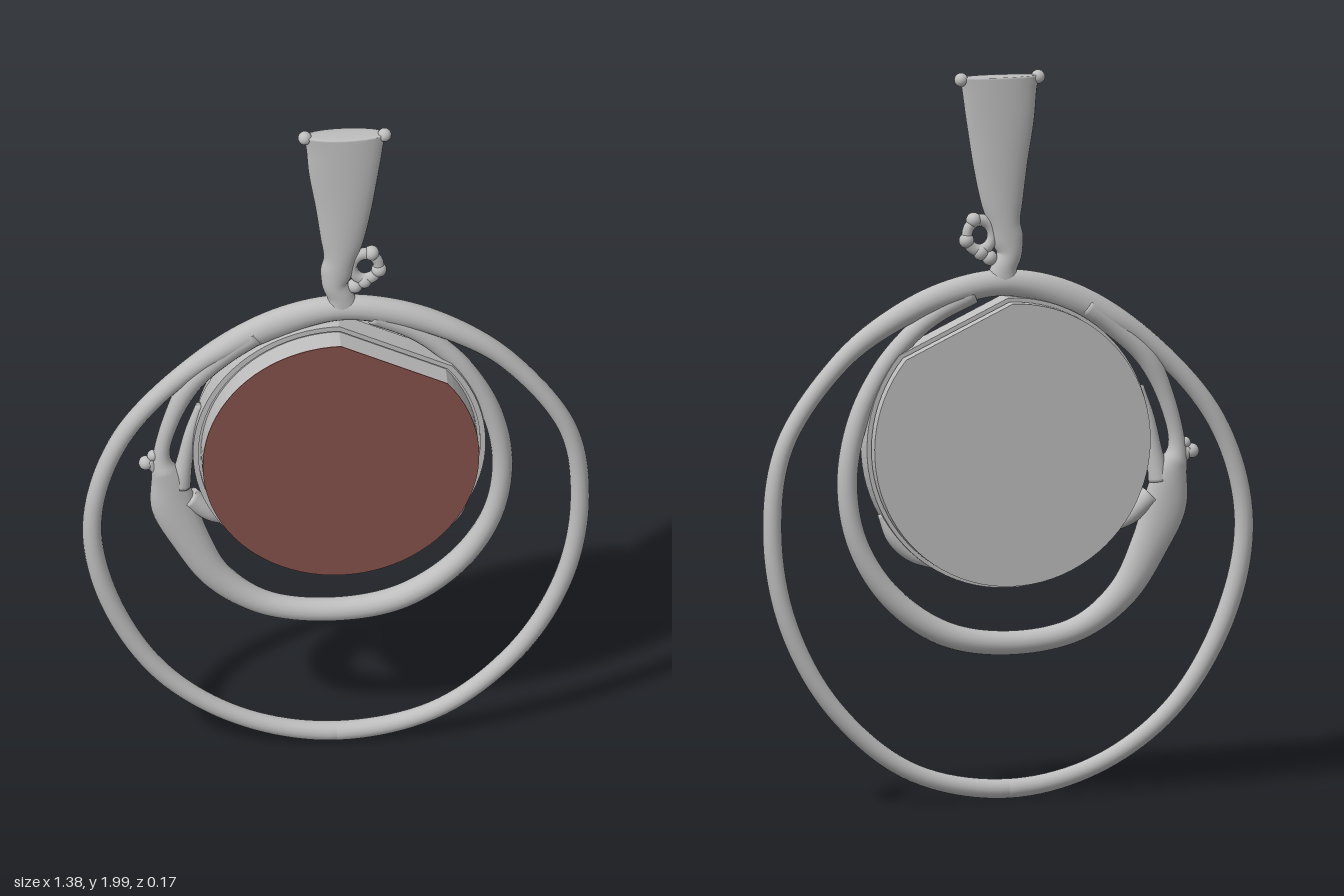
import * as THREE from 'three';

const MID = -0.014; // depth of the wire frame

// Wire of varying thickness through [x, y, radius] points; depth is capped.
function wireGeometry(points, closed = false, maxDepth = 0.033, steps = 120, sides = 16) {
  const curve = new THREE.CatmullRomCurve3(points.map(p => new THREE.Vector3(...p)), closed);
  const pos = [], index = [];
  for (let i = 0; i <= steps; i++) {
    const p = curve.getPoint(i / steps), t = curve.getTangent(i / steps).setZ(0).normalize();
    const rz = Math.min(p.z, maxDepth);
    for (let j = 0; j < sides; j++) {
      const a = j / sides * Math.PI * 2, r = p.z * Math.cos(a);
      pos.push(p.x - t.y * r, p.y + t.x * r, MID + rz * Math.sin(a));
      if (i < steps) {
        const k = i * sides + j, n = i * sides + (j + 1) % sides;
        index.push(k, n, k + sides, n, n + sides, k + sides);
      }
    }
  }
  if (!closed) {
    for (let j = 1; j < sides - 1; j++) {
      const e = steps * sides;
      index.push(0, j + 1, j, e, e + j, e + j + 1);
    }
  }
  const g = new THREE.BufferGeometry();
  g.setAttribute('position', new THREE.Float32BufferAttribute(pos, 3));
  g.setIndex(index);
  g.computeVertexNormals();
  return g;
}

// Round outline with one straight cut at the upper left of the wearer's side.
function cutCircle(radius, type = THREE.Shape) {
  const s = new type(), start = Math.PI / 2, end = Math.PI * 2 + 0.69, n = 72;
  for (let i = 0; i <= n; i++) {
    const a = start + (end - start) * i / n;
    const x = 0.005 + radius * Math.cos(a), y = 0.985 + radius * Math.sin(a);
    if (i) s.lineTo(x, y); else s.moveTo(x, y);
  }
  s.closePath();
  return s;
}

export function createModel() {
  const group = new THREE.Group();
  const metal = new THREE.MeshStandardMaterial({ color: 0xbebebe });
  metal.name = 'grey metal';
  const stone = new THREE.MeshStandardMaterial({ color: 0x824f49 });
  stone.name = 'brown stone';

  const add = (name, geometry, material = metal) => {
    const m = new THREE.Mesh(geometry, material);
    m.name = name;
    group.add(m);
    return m;
  };
  const ball = (name, x, y, r) => add(name, new THREE.SphereGeometry(r, 16, 12)).position.set(x, y, MID);
  const slab = (name, shape, z0, z1, material) => {
    const g = new THREE.ExtrudeGeometry(shape, { depth: z1 - z0, bevelEnabled: false });
    add(name, g, material).position.z = z0;
  };

  // Large outer hoop, thicker where it meets the bail
  add('outerHoop', wireGeometry([
    [0, 0.033, 0.027], [0.27, 0.09, 0.025], [0.485, 0.27, 0.025], [0.615, 0.505, 0.026],
    [0.66, 0.76, 0.026], [0.625, 1.0, 0.025], [0.47, 1.22, 0.026], [0.33, 1.325, 0.032],
    [0.17, 1.395, 0.037], [0, 1.42, 0.037], [-0.18, 1.37, 0.042], [-0.39, 1.245, 0.028],
    [-0.585, 1.02, 0.026], [-0.662, 0.76, 0.026], [-0.62, 0.505, 0.028], [-0.47, 0.245, 0.026],
    [-0.255, 0.09, 0.025],
  ], true, 0.033, 160));

  // Inner hoop with a swelling on one side
  add('innerHoop', wireGeometry([
    [-0.22, 1.35, 0.035], [-0.30, 1.29, 0.032], [-0.39, 1.2, 0.03], [-0.45, 1.07, 0.023],
    [-0.475, 0.95, 0.025], [-0.455, 0.87, 0.05], [-0.44, 0.79, 0.062], [-0.40, 0.69, 0.053],
    [-0.325, 0.56, 0.042], [-0.2, 0.465, 0.034], [-0.02, 0.432, 0.033], [0.17, 0.462, 0.034],
    [0.325, 0.57, 0.032], [0.42, 0.72, 0.029], [0.45, 0.89, 0.028], [0.42, 1.06, 0.028],
    [0.35, 1.2, 0.026], [0.27, 1.29, 0.026], [0.2, 1.345, 0.028], [0.1, 1.395, 0.03],
  ], false, 0.034, 160));
  add('innerStrand', wireGeometry([
    [-0.425, 0.86, 0.03], [-0.412, 0.94, 0.022], [-0.395, 1.03, 0.018], [-0.37, 1.12, 0.012],
  ], false, 0.033, 30));

  // Small knob and clips that hold the setting
  add('sideKnobStem', wireGeometry([[-0.455, 0.89, 0.025], [-0.49, 0.92, 0.017], [-0.51, 0.945, 0.016]], false, 0.03, 12));
  ball('sideKnobTip', -0.517, 0.937, 0.02);
  ball('sideKnobTip', -0.498, 0.96, 0.016);
  add('settingClip', wireGeometry([
    [0.21, 0.655, 0.01], [0.27, 0.685, 0.018], [0.32, 0.735, 0.02], [0.355, 0.8, 0.01],
  ], false, 0.033, 30));
  add('settingClip', wireGeometry([[-0.4, 0.82, 0.03], [-0.34, 0.765, 0.024], [-0.31, 0.74, 0.012]], false, 0.03, 16));

  // Setting: hollow bezel band, with a thin inner lip
  const band = cutCircle(0.397);
  band.holes.push(cutCircle(0.382, THREE.Path));
  slab('bezelBand', band, -0.042, 0.022);
  slab('bezelFloor', cutCircle(0.384), -0.042, 0.014);

  // Stone holder in front with its coloured face, and the plate behind
  slab('stoneHolder', cutCircle(0.375), 0.012, 0.082);
  slab('stoneFace', cutCircle(0.375), 0.082, 0.085, stone);
  slab('backPlate', cutCircle(0.387), -0.085, -0.05);
  slab('backSpacer', cutCircle(0.365), -0.052, -0.04);

  // Flared bail with two corner beads
  add('bail', wireGeometry([
    [0.015, 1.42, 0.05], [0.01, 1.46, 0.036], [-0.005, 1.5, 0.035], [0, 1.54, 0.044],
    [0.008, 1.58, 0.044], [0.015, 1.64, 0.058], [0.02, 1.75, 0.077], [0.02, 1.87, 0.096],
    [0.022, 1.95, 0.105], [0.022, 1.987, 0.112],
  ], false, 0.031, 60, 24));
  for (const s of [-1, 1]) ball('bailBead', 0.022 + s * 0.108, 1.981, 0.019);

  // Little twisted link beside the neck
  const link = add('neckLink', new THREE.TorusGeometry(0.036, 0.015, 10, 24));
  link.position.set(0.078, 1.553, MID);
  link.scale.y = 1.15;
  for (const [x, y] of [[0.095, 1.595], [0.115, 1.54], [0.075, 1.505], [0.05, 1.49]]) ball('linkBead', x, y, 0.021);

  return group;
}
